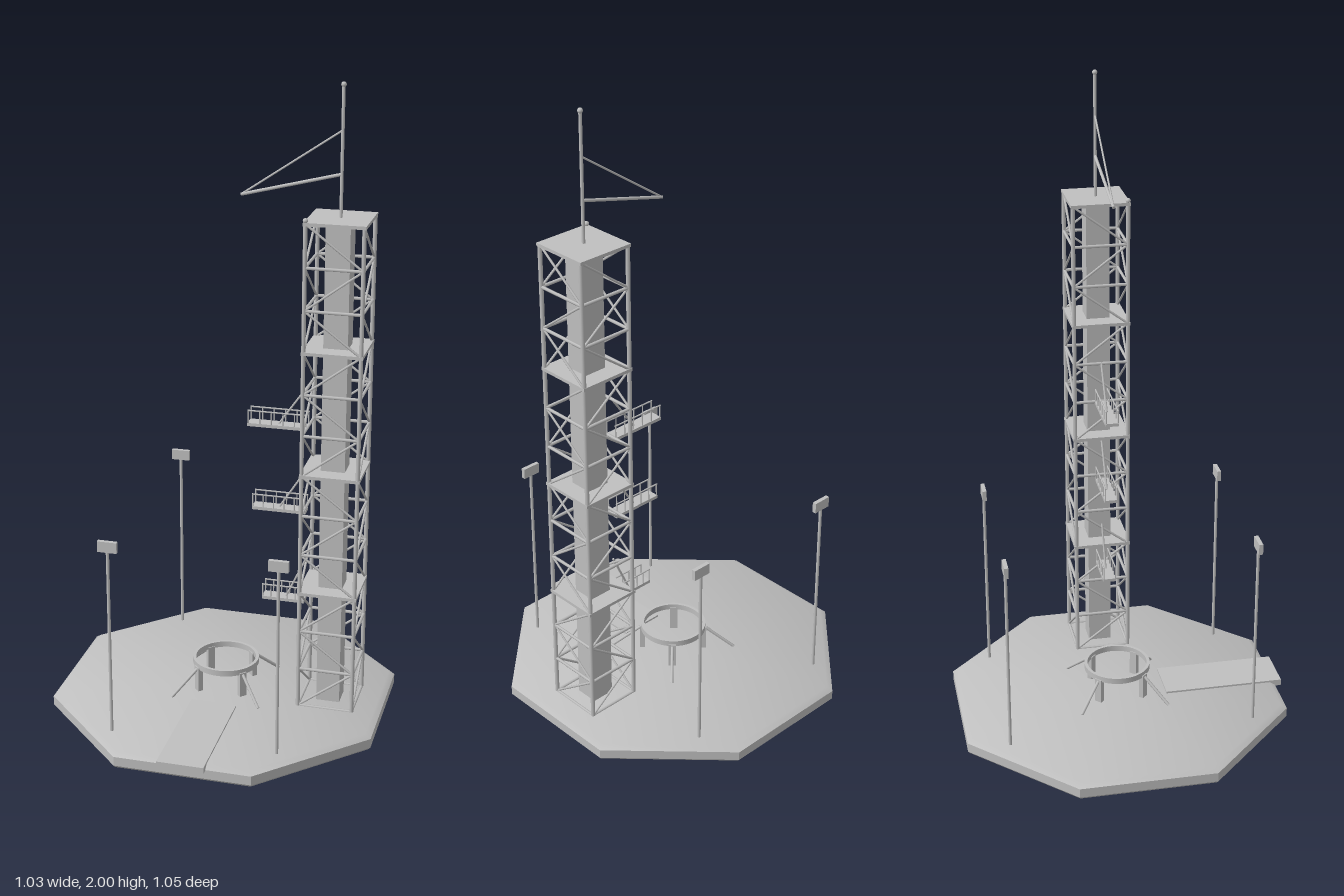
import * as THREE from 'three';
import { toCreasedNormals } from 'three/addons/utils/BufferGeometryUtils.js';

const steel = new THREE.MeshStandardMaterial({ color: 0xbfbfbf });
steel.name = 'pale grey steel';

const CZ = -0.0125; // depth of the pad centre
const V = (x, y, z) => new THREE.Vector3(x, y, z);

function add(parent, name, geometry, x = 0, y = 0, z = 0) {
  const mesh = new THREE.Mesh(geometry, steel);
  mesh.name = name;
  mesh.position.set(x, y, z);
  parent.add(mesh);
  return mesh;
}

function box(parent, name, w, h, d, x, y, z) {
  return add(parent, name, new THREE.BoxGeometry(w, h, d), x, y, z);
}

// Round bar between two points
function bar(parent, name, a, b, r, sides = 8) {
  const mesh = add(parent, name, new THREE.CylinderGeometry(r, r, a.distanceTo(b), sides));
  mesh.position.copy(a).add(b).multiplyScalar(0.5);
  mesh.quaternion.setFromUnitVectors(V(0, 1, 0), b.clone().sub(a).normalize());
  return mesh;
}

function group(parent, name, x = 0, y = 0, z = 0) {
  const g = new THREE.Group();
  g.name = name;
  g.position.set(x, y, z);
  parent.add(g);
  return g;
}

// Octagonal pad with a bevelled rim, and the access ramp
function buildPad(parent) {
  const profile = [[0, 0], [0.55, 0], [0.557, 0.008], [0.557, 0.038], [0.538, 0.05], [0, 0.05]]
    .map(([r, y]) => new THREE.Vector2(r, y));
  const pad = new THREE.LatheGeometry(profile, 8, Math.PI / 8);
  add(parent, 'pad', toCreasedNormals(pad, 0.6), 0, 0, CZ);
  box(parent, 'ramp', 0.146, 0.021, 0.385, 0, 0.0455, 0.3295);
}

// Launch ring on four legs with outward braces
function buildRing(parent) {
  const ring = group(parent, 'launchRing', 0, 0, CZ);
  const profile = [[0.096, 0.126], [0.106, 0.126], [0.106, 0.145], [0.096, 0.145], [0.096, 0.126]]
    .map(([r, y]) => new THREE.Vector2(r, y));
  add(ring, 'ringBeam', toCreasedNormals(new THREE.LatheGeometry(profile, 40), 0.6));
  for (let i = 0; i < 4; i++) {
    const leg = group(ring, 'ringLeg');
    leg.rotation.y = Math.PI / 4 + i * Math.PI / 2;
    box(leg, 'legPost', 0.016, 0.084, 0.024, 0.101, 0.09, 0);
    bar(leg, 'legBrace', V(0.2, 0.05, 0), V(0.107, 0.125, 0), 0.005);
  }
}

// Lattice tower around a square core
function buildTower(parent) {
  const tower = group(parent, 'tower', 0.343, 0, CZ);
  const h = 0.086, bays = 12, base = 0.05, step = 0.1295;
  const top = base + bays * step;
  box(tower, 'core', 0.074, top - base, 0.074, 0, (base + top) / 2, 0);
  for (let f = 0; f < 4; f++) {
    const face = group(tower, 'towerFace');
    face.rotation.y = f * Math.PI / 2;
    bar(face, 'cornerPost', V(-h, base, h), V(-h, top + 0.004, h), 0.0065);
    for (let i = 0; i <= bays; i++) {
      const y = base + i * step;
      bar(face, 'crossBeam', V(-h, y, h), V(h, y, h), 0.005, 6);
      if (i === bays) continue;
      const s = i % 2 ? 1 : -1;
      bar(face, 'diagonal', V(s * h, y, h), V(-s * h, y + step, h), 0.0038, 6);
    }
  }
  for (const i of [3, 6, 9, 12]) {
    box(tower, 'platform', 0.185, 0.01, 0.185, 0, base + i * step, 0);
  }
  add(tower, 'beacon', new THREE.SphereGeometry(0.008, 12, 8), -h, top + 0.01, h);

  // Mast with its triangular jib
  bar(tower, 'mast', V(0, top, 0), V(0, 1.99, 0), 0.005, 12);
  add(tower, 'mastTip', new THREE.SphereGeometry(0.008, 16, 12), 0, 1.992, 0);
  bar(tower, 'jib', V(0, 1.735, 0), V(-0.298, 1.66, 0), 0.005);
  bar(tower, 'jibStay', V(0, 1.862, 0), V(-0.298, 1.66, 0), 0.003);
}

// Railed access arm reaching from the tower towards the ring
function buildArm(parent, tip, y, strutX, strutTop) {
  const arm = group(parent, 'accessArm', 0, y, CZ);
  const root = 0.257, length = root - tip, posts = 5;
  box(arm, 'deck', length, 0.01, 0.042, tip + length / 2, 0.005, 0);
  for (const z of [-0.019, 0.019]) {
    bar(arm, 'handrail', V(tip, 0.05, z), V(root, 0.05, z), 0.0025, 6);
    for (let i = 0; i <= posts; i++) {
      const x = tip + 0.0025 + i * (length - 0.005) / posts;
      bar(arm, 'railPost', V(x, 0.005, z), V(x, 0.05, z), 0.002, 6);
    }
  }
  bar(arm, 'armStay', V(strutX, 0.008, 0), V(root, strutTop - y, 0), 0.0035, 6);
}

// Floodlight on a thin pole
function buildFloodlight(parent, x, z) {
  const light = group(parent, 'floodlight', x, 0, z);
  bar(light, 'pole', V(0, 0.045, 0), V(0, 0.66, 0), 0.005, 10);
  box(light, 'lamp', 0.06, 0.034, 0.013, 0, 0.667, 0);
}

export function createModel() {
  const model = new THREE.Group();
  model.name = 'launchPad';
  buildPad(model);
  buildRing(model);
  buildTower(model);
  buildArm(model, 0.072, 0.948, 0.165, 1.09);
  buildArm(model, 0.088, 0.675, 0.17, 0.82);
  buildArm(model, 0.122, 0.373, 0.195, 0.517);
  for (const sx of [-1, 1]) {
    for (const sz of [-1, 1]) buildFloodlight(model, sx * 0.26, CZ + sz * 0.387);
  }
  return model;
}
